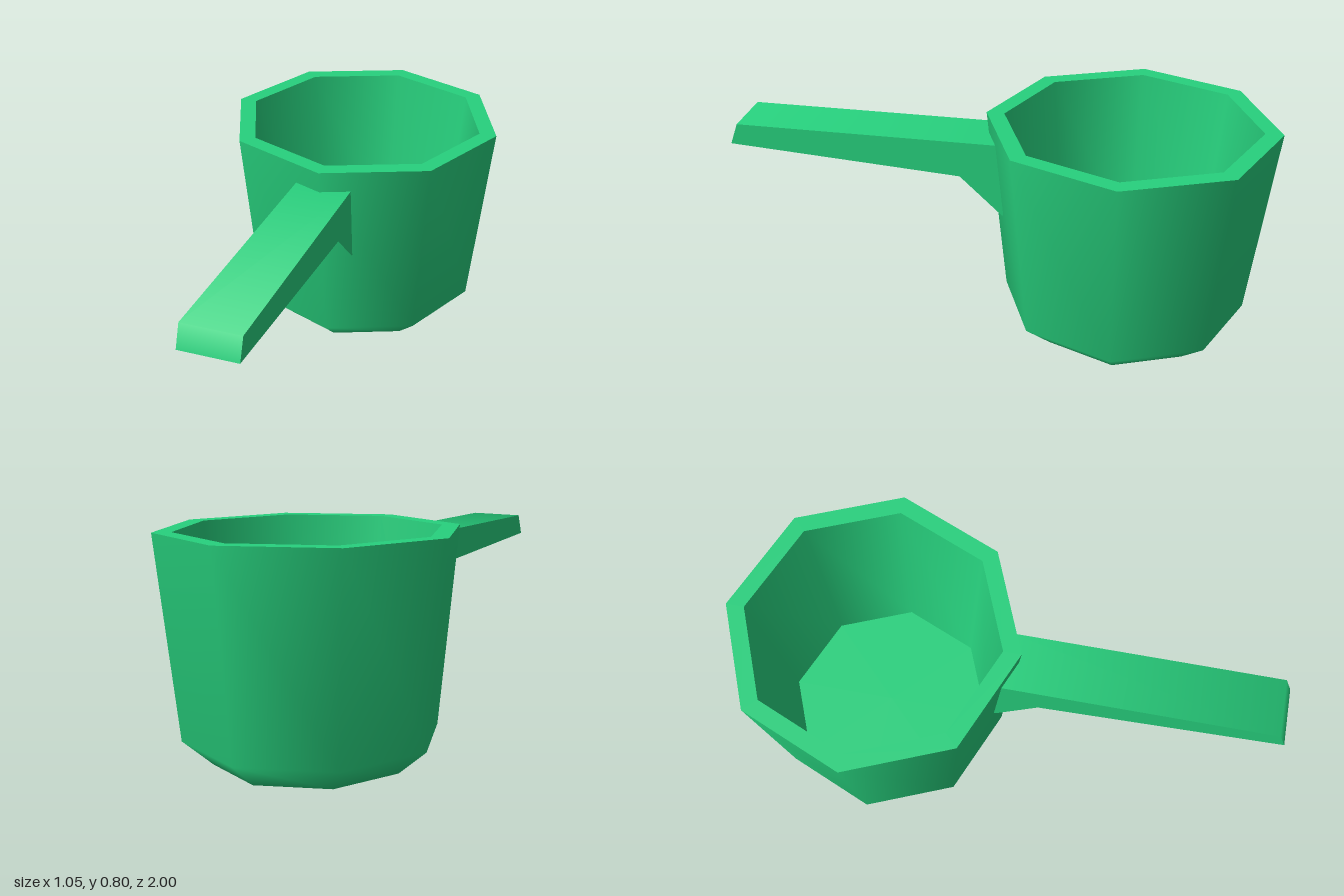
import * as THREE from 'three';

const green = new THREE.MeshStandardMaterial({ color: 0x27d07d, side: THREE.DoubleSide });
green.name = 'green plastic';

function mesh(name, geometry) {
  const m = new THREE.Mesh(geometry, green);
  m.name = name;
  return m;
}

// Eight-sided ring or disc, smooth around, with a corner pointing to the front
function octagon(name, profile) {
  const points = profile.map(([r, y]) => new THREE.Vector2(r, y));
  return mesh(name, new THREE.LatheGeometry(points, 8));
}

export function createModel() {
  const model = new THREE.Group();
  model.name = 'dipper';

  // Bowl: separate sections keep the rim and base edges sharp
  const bowl = new THREE.Group();
  bowl.name = 'bowl';
  bowl.position.z = -0.475;
  bowl.add(
    octagon('bowlBase', [[0, 0], [0.345, 0]]),
    octagon('bowlOuterWall', [[0.345, 0], [0.45, 0.09], [0.525, 0.8]]),
    octagon('bowlRim', [[0.525, 0.8], [0.46, 0.8]]),
    octagon('bowlInnerWall', [[0.46, 0.8], [0.385, 0.09]]),
    octagon('bowlFloor', [[0.385, 0.09], [0, 0.09]]),
  );
  model.add(bowl);

  // Handle: a thin channel, open underneath
  const handle = new THREE.Group();
  handle.name = 'handle';
  const w = 0.105;

  // Top and tip form one strip, shaded smoothly over the front edge
  const strip = new THREE.PlaneGeometry(2 * w, 1, 1, 2);
  const rows = [
    { y: 0.72, z: -0.01, n: [0, 1, 0] },
    { y: 0.72, z: 0.97, n: [0, 0.82, 0.57] },
    { y: 0.64, z: 1, n: [0, 0.35, 0.94] },
  ];
  rows.forEach(({ y, z, n }, row) => {
    for (let i = row * 2; i < row * 2 + 2; i++) {
      strip.attributes.position.setY(i, y);
      strip.attributes.position.setZ(i, z);
      strip.attributes.normal.setXYZ(i, ...n);
    }
  });
  handle.add(mesh('handleTop', strip));

  // Side walls with a bracket flaring down onto the bowl
  const outline = [[-0.01, 0.72], [0.97, 0.72], [1, 0.64], [0.13, 0.585], [-0.025, 0.44], [-0.04, 0.44]];
  const sideShape = new THREE.Shape(outline.map(([z, y]) => new THREE.Vector2(z, y)));
  for (const side of [-1, 1]) {
    const geometry = new THREE.ShapeGeometry(sideShape);
    if (side > 0) geometry.scale(-1, 1, 1).rotateY(Math.PI / 2);
    else geometry.rotateY(-Math.PI / 2);
    if (side > 0) {
      // Restore outward winding and normals after the mirror
      const index = geometry.index;
      for (let i = 0; i < index.count; i += 3) {
        const a = index.getX(i);
        index.setX(i, index.getX(i + 1));
        index.setX(i + 1, a);
      }
      geometry.computeVertexNormals();
    }
    geometry.translate(side * w, 0, 0);
    handle.add(mesh(side > 0 ? 'handleLeftSide' : 'handleRightSide', geometry));
  }
  model.add(handle);

  return model;
}
